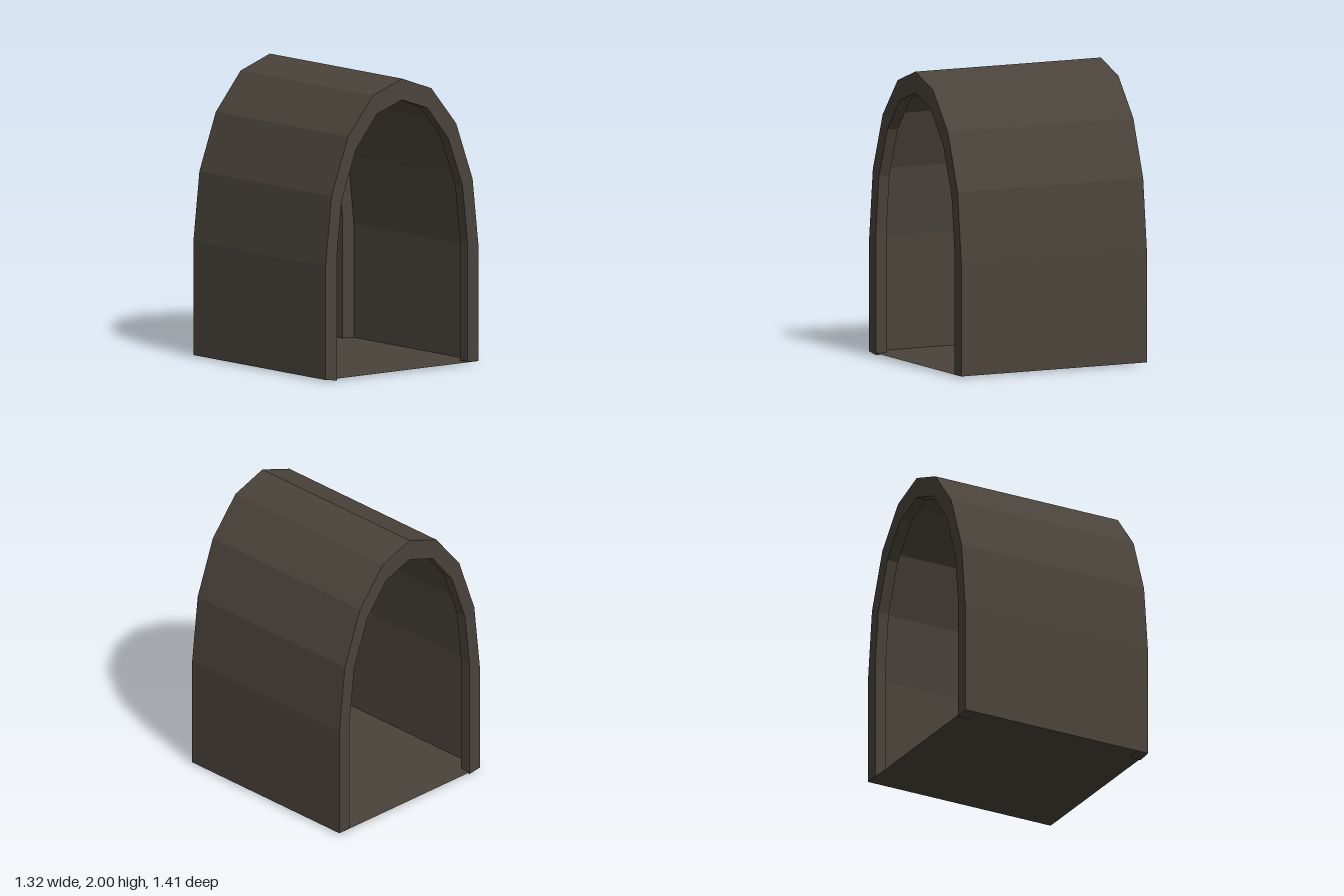
import * as THREE from 'three';

export function createModel() {
  const group = new THREE.Group();
  const stone = new THREE.MeshStandardMaterial({ color: 0x4a433b, flatShading: true, side: THREE.DoubleSide });
  stone.name = 'darkStone';
  const HALF = 0.705, RIB = 0.08, FLOOR = 0.015;

  // Half profiles of the pointed arch, from springing to crown
  const outer = [[0.662, 0.79], [0.61, 1.26], [0.468, 1.65], [0.253, 1.91]];
  const inner = [[0.565, 0.84], [0.523, 1.22], [0.4, 1.555], [0.218, 1.78]];
  // Full arch from left foot over the crown to right foot
  const arch = (half, crown, leftFoot, rightFoot) => [
    [half[0][0], leftFoot], ...half, [0, crown],
    ...half.map(([x, y]) => [-x, y]).reverse(), [-half[0][0], rightFoot],
  ];
  const outerArch = arch(outer, 2, FLOOR, FLOOR);
  const innerArch = arch(inner, 1.855, 0.02, 0.003);

  const add = (name, geometry, z = 0) => {
    const mesh = new THREE.Mesh(geometry, stone);
    mesh.name = name;
    mesh.position.z = z;
    group.add(mesh);
  };

  // Thin vault skin, swept along z
  const skin = [];
  for (let i = 0; i < outerArch.length - 1; i++) {
    const [ax, ay] = outerArch[i], [bx, by] = outerArch[i + 1];
    skin.push(ax, ay, HALF, ax, ay, -HALF, bx, by, -HALF);
    skin.push(ax, ay, HALF, bx, by, -HALF, bx, by, HALF);
  }
  const vault = new THREE.BufferGeometry();
  vault.setAttribute('position', new THREE.Float32BufferAttribute(skin, 3));
  vault.computeVertexNormals();
  add('vaultSkin', vault);

  // Arched frames at both openings
  const outline = [...outerArch, ...innerArch.slice().reverse()];
  const frame = new THREE.ExtrudeGeometry(
    new THREE.Shape(outline.map(([x, y]) => new THREE.Vector2(x, y))),
    { depth: RIB, bevelEnabled: false });
  add('frontFrame', frame, HALF - RIB);
  add('backFrame', frame, -HALF);

  // Floor sheet
  const floor = new THREE.PlaneGeometry(outer[0][0] * 2, HALF * 2).rotateX(-Math.PI / 2).translate(0, FLOOR, 0);
  add('floor', floor);

  return group;
}
